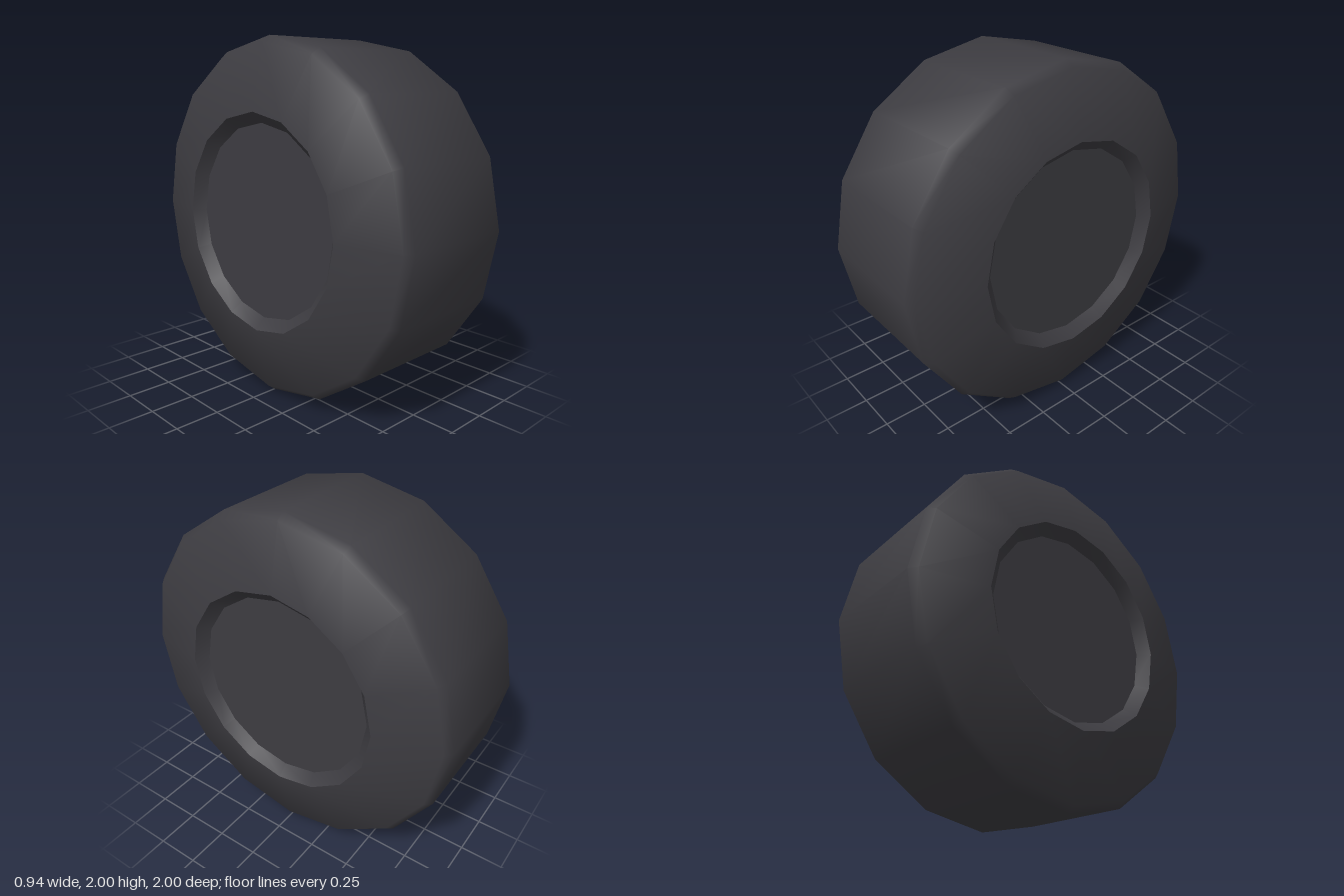
import * as THREE from 'three';
import { toCreasedNormals } from 'three/addons/utils/BufferGeometryUtils.js';

const SIDES = 16;

// Revolve [radius, x] points around the x axis
function revolve(points) {
  const geo = new THREE.LatheGeometry(points.map(([r, x]) => new THREE.Vector2(r, x)), SIDES);
  geo.rotateZ(-Math.PI / 2);
  return toCreasedNormals(geo, 0.85);
}

export function createModel() {
  const group = new THREE.Group();
  group.name = 'wheel';
  const rubber = new THREE.MeshStandardMaterial({ color: 0x3d3c41 });
  rubber.name = 'dark rubber';

  const add = (name, geo) => {
    const mesh = new THREE.Mesh(geo, rubber);
    mesh.name = name;
    mesh.position.y = 1;
    group.add(mesh);
    return mesh;
  };

  // Tread, rounded shoulders and bulging sidewalls
  add('tyre', revolve([
    [0.605, -0.47], [0.965, -0.39], [1, -0.345],
    [1, 0.345], [0.965, 0.39], [0.605, 0.47],
  ]));

  // Sloped rim lips leading into the recessed hubs
  add('leftRimLip', revolve([[0.605, 0.47], [0.545, 0.41]]));
  add('rightRimLip', revolve([[0.545, -0.41], [0.605, -0.47]]));

  // Flat hub faces
  for (const side of [1, -1]) {
    const hub = add(side > 0 ? 'leftHub' : 'rightHub', new THREE.CircleGeometry(0.545, SIDES));
    hub.rotation.y = side * Math.PI / 2;
    hub.position.x = side * 0.41;
  }
  return group;
}
